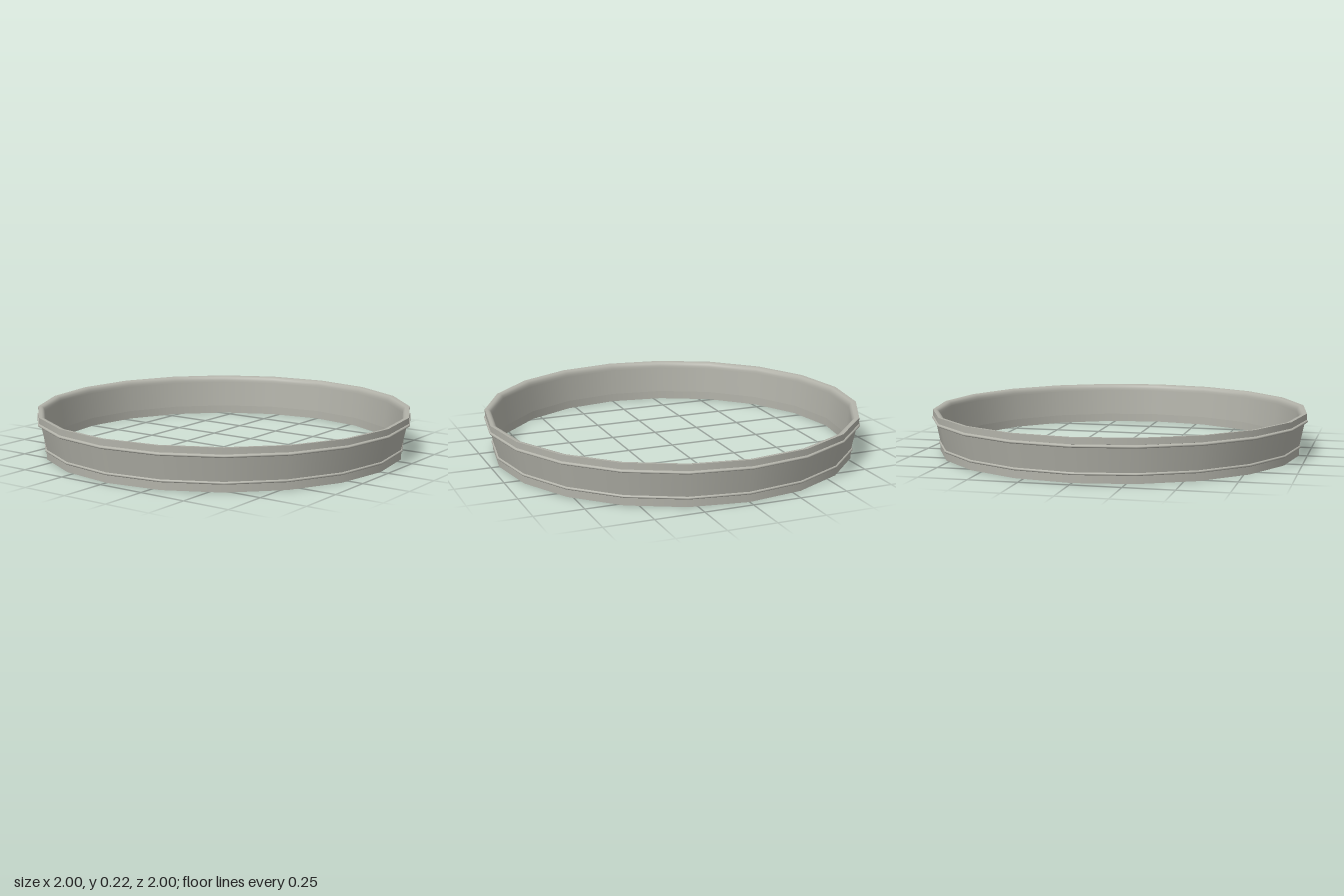
import * as THREE from 'three';

const SIDES = 20;

export function createModel() {
  const group = new THREE.Group();
  group.name = 'ring';
  const grey = new THREE.MeshStandardMaterial({ color: 0xb2b2a9 });
  grey.name = 'warmGrey';

  // Smooth around the ring; each strip keeps its own crisp edges.
  function strip(parent, points) {
    const geometry = new THREE.LatheGeometry(points.map(p => new THREE.Vector2(...p)), SIDES);
    const mesh = new THREE.Mesh(geometry, grey);
    mesh.name = parent.name + 'Face';
    parent.add(mesh);
  }
  function part(name, strips) {
    const g = new THREE.Group();
    g.name = name;
    strips.forEach(points => strip(g, points));
    group.add(g);
  }
  // Half-round bead standing proud of the wall
  function bead(r, y, h, out) {
    const points = [];
    for (let i = 0; i <= 6; i++) {
      const a = -Math.PI / 2 + Math.PI * i / 6;
      points.push([r + out * Math.cos(a), y + h * Math.sin(a)]);
    }
    return points;
  }

  // Outer surfaces, bottom to top
  part('baseBand', [[[0.943, 0], [0.958, 0]], [[0.958, 0], [0.958, 0.042]]]);
  part('lowerBead', [bead(0.957, 0.045, 0.007, 0.009)]);
  part('taperedWall', [[[0.957, 0.045], [0.984, 0.178]]]);
  part('upperBead', [bead(0.984, 0.18, 0.008, 0.016)]);
  part('topBand', [[[0.984, 0.188], [0.994, 0.19]], [[0.994, 0.19], [0.994, 0.222]]]);

  // Rounded rim rolling over to the inside
  part('rim', [[[0.994, 0.222], [0.98, 0.222], [0.97, 0.219], [0.962, 0.211], [0.958, 0.198], [0.957, 0.185]]]);

  // Inner surfaces, top to bottom
  part('innerWall', [[[0.957, 0.185], [0.944, 0.045]], [[0.944, 0.045], [0.943, 0]]]);

  return group;
}
